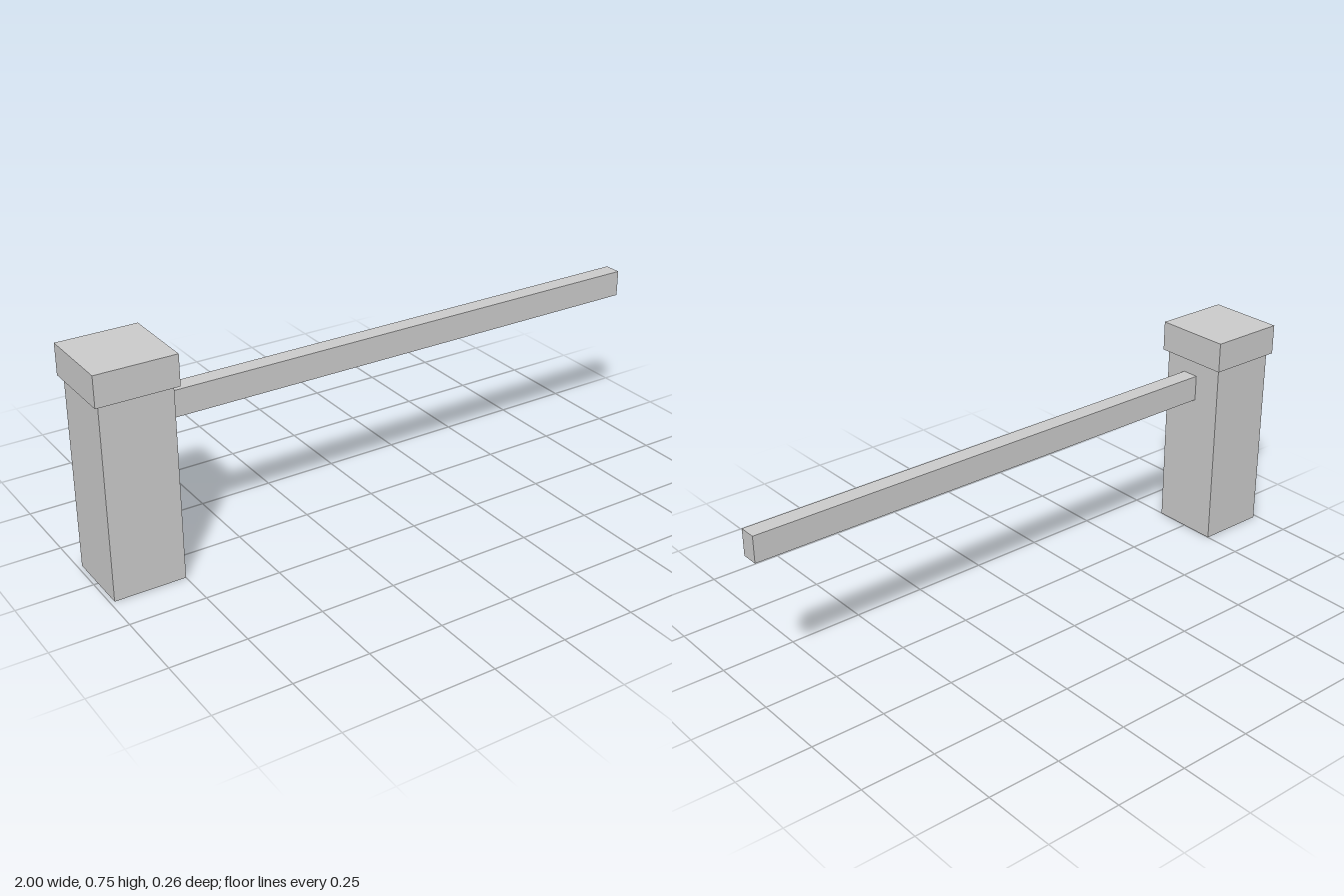
import * as THREE from 'three';

const material = new THREE.MeshStandardMaterial({ color: 0xcccccc, flatShading: true });

// Box given by its [min, max] extent along each axis
function block(name, [x0, x1], [y0, y1], [z0, z1]) {
  const mesh = new THREE.Mesh(new THREE.BoxGeometry(x1 - x0, y1 - y0, z1 - z0), material);
  mesh.position.set((x0 + x1) / 2, (y0 + y1) / 2, (z0 + z1) / 2);
  mesh.name = name;
  return mesh;
}

export function createModel() {
  const group = new THREE.Group();
  group.name = 'barrierGate';
  group.add(
    // Square post with an overhanging cap
    block('post', [-0.986, -0.75], [0, 0.646], [-0.118, 0.118]),
    block('postCap', [-1, -0.736], [0.646, 0.748], [-0.132, 0.132]),
    // Horizontal barrier arm, set slightly forward of the post's centre
    block('barrierArm', [-0.75, 1], [0.502, 0.59], [-0.017, 0.041]),
  );
  return group;
}
